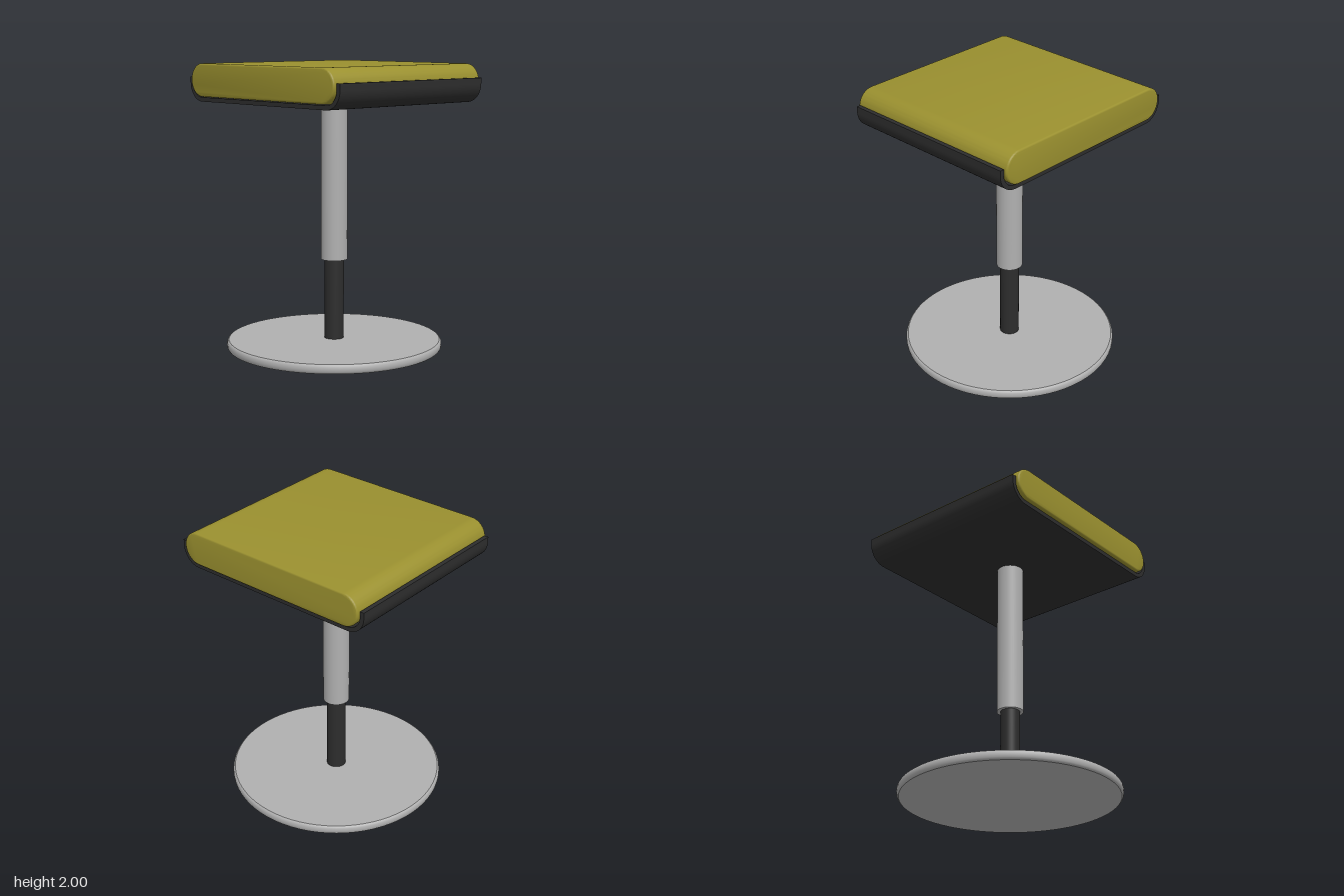
import * as THREE from 'three';
import { toCreasedNormals } from 'three/addons/utils/BufferGeometryUtils.js';

const upholstery = new THREE.MeshStandardMaterial({ name: 'oliveUpholstery', color: 0x9a902f });
const black = new THREE.MeshStandardMaterial({ name: 'blackPlastic', color: 0x2d2d2d });
const metal = new THREE.MeshStandardMaterial({ name: 'greyMetal', color: 0xb0b0b0 });

function addPart(group, name, geometry, material, y = 0) {
  const mesh = new THREE.Mesh(geometry, material);
  mesh.name = name;
  mesh.position.y = y;
  group.add(mesh);
}

// Extrudes a shape along z, centred, with its rounded rim kept inside the outline
function extrudeCentred(shape, length, bevel) {
  const geometry = new THREE.ExtrudeGeometry(shape, {
    depth: length - 2 * bevel,
    bevelEnabled: bevel > 0,
    bevelSize: bevel,
    bevelThickness: bevel,
    bevelOffset: -bevel,
    bevelSegments: 4,
    curveSegments: 20,
  });
  geometry.translate(0, 0, -length / 2 + bevel);
  return toCreasedNormals(geometry, 0.6);
}

// Capsule-shaped cushion section
function cushionShape() {
  const r = 0.115, x = 0.615, y = 1.885;
  const shape = new THREE.Shape();
  shape.moveTo(-x, y - r);
  shape.lineTo(x, y - r);
  shape.absarc(x, y, r, -Math.PI / 2, Math.PI / 2, false);
  shape.lineTo(-x, y + r);
  shape.absarc(-x, y, r, Math.PI / 2, Math.PI * 1.5, false);
  return shape;
}

// Thin U-shaped tray section with turned-up sides
function trayShape() {
  const top = 1.905, x = 0.635, y = 1.865, outer = 0.13, inner = 0.1;
  const shape = new THREE.Shape();
  shape.moveTo(-x - outer, top);
  shape.lineTo(-x - outer, y);
  shape.absarc(-x, y, outer, Math.PI, Math.PI * 1.5, false);
  shape.lineTo(x, y - outer);
  shape.absarc(x, y, outer, -Math.PI / 2, 0, false);
  shape.lineTo(x + outer, top);
  shape.lineTo(x + inner, top);
  shape.lineTo(x + inner, y);
  shape.absarc(x, y, inner, 0, -Math.PI / 2, true);
  shape.lineTo(-x, y - inner);
  shape.absarc(-x, y, inner, Math.PI * 1.5, Math.PI, true);
  shape.lineTo(-x - inner, top);
  shape.closePath();
  return shape;
}

// Round plate with softened edges
function baseGeometry() {
  const profile = [
    [0, 0], [0.745, 0], [0.753, 0.006], [0.758, 0.016], [0.76, 0.032],
    [0.758, 0.048], [0.753, 0.058], [0.745, 0.064], [0, 0.064],
  ].map(([r, y]) => new THREE.Vector2(r, y));
  return toCreasedNormals(new THREE.LatheGeometry(profile, 72), 0.6);
}

export function createModel() {
  const stool = new THREE.Group();
  stool.name = 'stool';

  addPart(stool, 'base', baseGeometry(), metal);

  // Telescopic column
  addPart(stool, 'innerColumn', new THREE.CylinderGeometry(0.068, 0.068, 0.62, 40), black, 0.36);
  addPart(stool, 'outerColumn', new THREE.CylinderGeometry(0.0925, 0.0925, 1.11, 48), metal, 1.185);

  // Seat
  addPart(stool, 'seatTray', extrudeCentred(trayShape(), 1.32, 0), black);
  addPart(stool, 'seatCushion', extrudeCentred(cushionShape(), 1.365, 0.014), upholstery);

  return stool;
}
